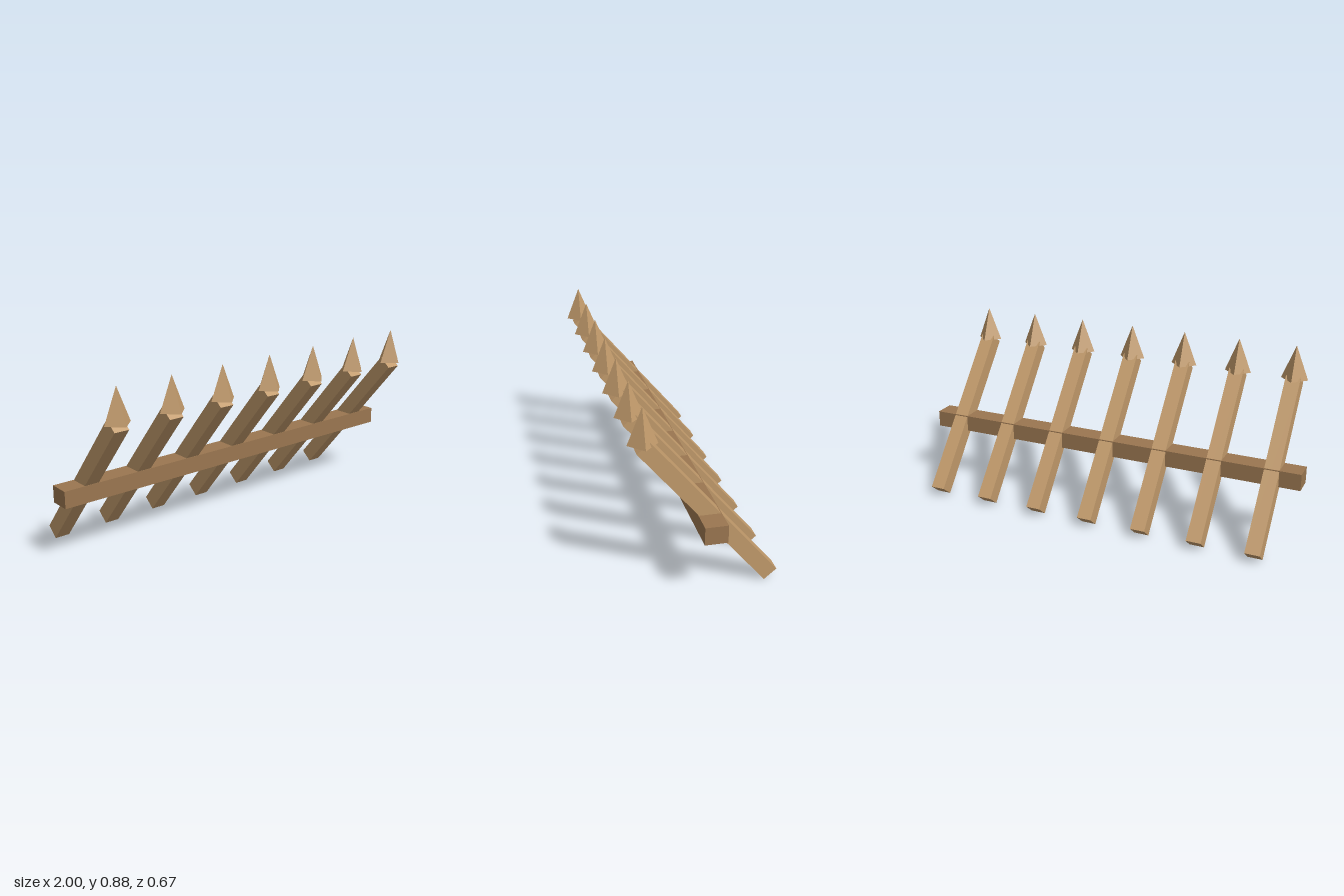
import * as THREE from 'three';

export function createModel() {
  const group = new THREE.Group();
  group.name = 'spikedBarricade';
  const lightWood = new THREE.MeshStandardMaterial({ color: 0xc19a6b, flatShading: true });
  const darkWood = new THREE.MeshStandardMaterial({ color: 0x9a7650, flatShading: true });

  const add = (name, geometry, material, x, y, z) => {
    const mesh = new THREE.Mesh(geometry, material);
    mesh.name = name;
    mesh.position.set(x, y, z);
    group.add(mesh);
    return mesh;
  };

  // Long horizontal beam
  add('crossBeam', new THREE.BoxGeometry(2, 0.083, 0.103), darkWood, 0, 0.325, -0.02);

  // Leaning square stakes, each with an upright four-sided point
  const stakeGeometry = new THREE.BoxGeometry(0.074, 0.895, 0.074);
  const tipGeometry = new THREE.ConeGeometry(0.067, 0.168, 4);
  const count = 7, spacing = 2 / count;
  for (let i = 0; i < count; i++) {
    const x = (i - (count - 1) / 2) * spacing;
    const stake = add(`stake${i + 1}`, stakeGeometry, lightWood, x, 0.367, -0.019);
    stake.rotation.x = THREE.MathUtils.degToRad(40);
    add(`stakeTip${i + 1}`, tipGeometry, lightWood, x, 0.796, 0.265);
  }
  return group;
}
